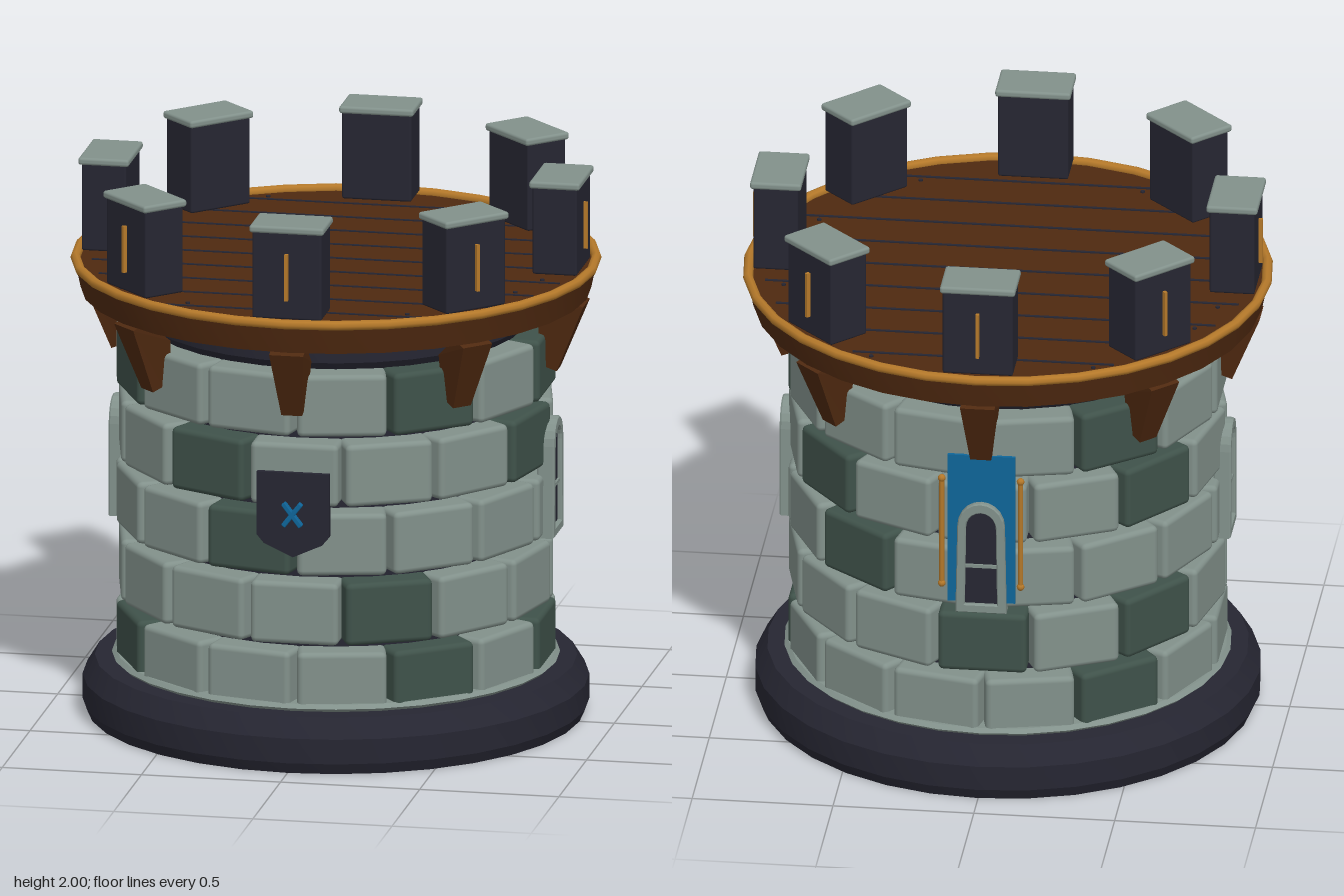
import * as THREE from 'three';
import { toCreasedNormals } from 'three/addons/utils/BufferGeometryUtils.js';
import { RoundedBoxGeometry } from 'three/addons/geometries/RoundedBoxGeometry.js';

const material = (name, color) => new THREE.MeshStandardMaterial({ name, color });

export function createModel() {
  const stone = material('pale stone', 0x82918b);
  const mossStone = material('dark green stone', 0x3f524a);
  const slate = material('dark slate', 0x262632);
  const wood = material('brown wood', 0x4f2910);
  const gold = material('gold trim', 0xb5792a);
  const blue = material('blue cloth', 0x0f669a);

  const tower = new THREE.Group();
  tower.name = 'tower';

  const add = (parent, name, geometry, mat, x = 0, y = 0, z = 0) => {
    const mesh = new THREE.Mesh(geometry, mat);
    mesh.name = name;
    mesh.position.set(x, y, z);
    parent.add(mesh);
    return mesh;
  };
  // A group turned about the tower axis; its parts are laid out facing +z
  const facing = (name, angle) => {
    const group = new THREE.Group();
    group.name = name;
    group.rotation.y = angle;
    tower.add(group);
    return group;
  };
  const lathe = (points, segments = 32) => toCreasedNormals(
    new THREE.LatheGeometry(points.map(([r, y]) => new THREE.Vector2(r, y)), segments), 0.4);
  const extrude = (points, depth) => new THREE.ExtrudeGeometry(
    new THREE.Shape(points.map(([x, y]) => new THREE.Vector2(x, y))), { depth, bevelEnabled: false });

  // Base, core and thin stone rings
  add(tower, 'base', lathe([[0, 0], [0.875, 0], [0.893, 0.04], [0.893, 0.13], [0.85, 0.2], [0, 0.2]]), slate);
  add(tower, 'core', new THREE.CylinderGeometry(0.67, 0.67, 1.3, 32), slate, 0, 0.85);
  add(tower, 'neck', lathe([[0.67, 1.42], [0.69, 1.45], [0.69, 1.53]]), slate);
  for (const y of [0.212, 1.53]) {
    add(tower, 'stoneRing', lathe([[0, -0.014], [0.775, -0.014], [0.79, 0], [0.775, 0.014], [0, 0.014]]), stone, 0, y);
  }

  // Five staggered courses of blocks, with the darker ones listed per course
  const COUNT = 14, STEP = Math.PI * 2 / COUNT;
  const darkBlocks = [[1, 3, 8, 11], [1, 7, 9], [5, 13], [3, 5, 9, 13], [1, 3, 8, 11]];
  const block = new RoundedBoxGeometry(0.315, 0.226, 0.13, 2, 0.02);
  darkBlocks.forEach((dark, row) => {
    for (let i = 0; i < COUNT; i++) {
      const holder = facing('wallBlock', (i + (row % 2 ? 0 : 0.5)) * STEP);
      add(holder, 'block', block, dark.includes(i) ? mossStone : stone, 0, 0.297 + row * 0.2535, 0.697);
    }
  });

  // Wooden platform with gold rim
  add(tower, 'platform', lathe([[0, 1.542], [0.9, 1.542], [0.922, 1.645], [0, 1.645]]), wood);
  const rim = add(tower, 'rim', new THREE.TorusGeometry(0.918, 0.018, 8, 32), gold, 0, 1.65);
  rim.rotation.x = Math.PI / 2;

  // Plank seams and nails on the deck
  for (let i = -4; i <= 4; i++) {
    const z = i * 0.181;
    const half = Math.sqrt(0.86 ** 2 - z * z);
    add(tower, 'plankSeam', new THREE.BoxGeometry(half * 2, 0.006, 0.01), slate, 0, 1.646, z);
    for (const side of [-1, 1]) {
      add(tower, 'nail', new THREE.CylinderGeometry(0.008, 0.008, 0.008, 8), slate,
        side * (half - 0.07), 1.647, z - 0.032);
    }
  }

  // Bracket profile in (radius, height), narrowed toward its foot
  const bracket = extrude([[0.9, 1.53], [0.84, 1.55], [0.74, 1.47], [0.735, 1.36], [0.76, 1.3], [0.8, 1.285]], 0.12);
  bracket.translate(0, 0, -0.06).rotateY(-Math.PI / 2);
  const p = bracket.attributes.position;
  for (let i = 0; i < p.count; i++) {
    p.setX(i, p.getX(i) * (0.62 + 0.4 * Math.min(1, (p.getY(i) - 1.285) / 0.2)));
  }
  bracket.computeVertexNormals();

  // Eight merlons, each above a bracket
  const merlonBody = new RoundedBoxGeometry(0.25, 0.32, 0.16, 2, 0.008);
  const merlonCap = new RoundedBoxGeometry(0.268, 0.027, 0.182, 2, 0.01);
  for (let i = 0; i < 8; i++) {
    const a = i * Math.PI / 4;
    add(facing('bracketHolder', a), 'bracket', bracket, wood);
    const merlon = facing('merlon', a);
    add(merlon, 'merlonBody', merlonBody, slate, 0, 1.82, 0.81);
    add(merlon, 'merlonCap', merlonCap, stone, 0, 1.9865, 0.81);
    add(merlon, 'merlonSlit', new THREE.BoxGeometry(0.012, 0.17, 0.02), gold, 0, 1.815, 0.895);
  }

  // Arched windows on both sides and the back
  const arch = (w, bottom, spring) => {
    const pts = [[-w * 1.08, bottom], [w * 1.08, bottom]];
    for (let i = 0; i <= 10; i++) {
      const t = i * Math.PI / 10;
      pts.push([w * Math.cos(t), spring + w * 1.1 * Math.sin(t)]);
    }
    return pts;
  };
  const frameShape = new THREE.Shape(arch(0.08, 0.69, 1.02).map(q => new THREE.Vector2(...q)));
  frameShape.holes.push(new THREE.Path(arch(0.057, 0.715, 1.015).map(q => new THREE.Vector2(...q))));
  const frame = new THREE.ExtrudeGeometry(frameShape, {
    depth: 0.05, bevelEnabled: true, bevelSize: 0.004, bevelThickness: 0.006, bevelSegments: 1,
  });
  const pane = extrude(arch(0.06, 0.71, 1.02), 0.04);
  for (const a of [Math.PI / 2, Math.PI, -Math.PI / 2]) {
    const win = facing('window', a);
    add(win, 'windowFrame', frame, stone, 0, 0, 0.745);
    add(win, 'windowPane', pane, slate, 0, 0, 0.745);
    add(win, 'windowCrossbar', new THREE.BoxGeometry(0.118, 0.012, 0.012), stone, 0, 0.865, 0.787);
  }

  // Banner and gold rods behind the back window
  const back = facing('bannerGroup', Math.PI);
  add(back, 'banner', new THREE.BoxGeometry(0.24, 0.57, 0.012), blue, 0, 1.005, 0.773);
  for (const side of [-1, 1]) {
    add(back, 'bannerRod', new THREE.CylinderGeometry(0.009, 0.009, 0.4, 8), gold, side * 0.14, 0.995, 0.785);
    for (const y of [0.79, 1.2]) {
      add(back, 'rodKnob', new THREE.SphereGeometry(0.014, 8, 6), gold, side * 0.14, y, 0.785);
    }
  }

  // Front shield with two crossed bars
  add(tower, 'shield', extrude([[-0.13, 1.07], [-0.13, 0.84], [-0.105, 0.81], [0, 0.762], [0.105, 0.81],
    [0.13, 0.84], [0.13, 1.07]], 0.03), slate, 0, 0, 0.75);
  for (const side of [-1, 1]) {
    const bar = add(tower, 'crossedBar', new RoundedBoxGeometry(0.018, 0.105, 0.025, 1, 0.004), blue, 0, 0.92, 0.79);
    bar.rotation.z = side * 0.66;
  }

  return tower;
}
